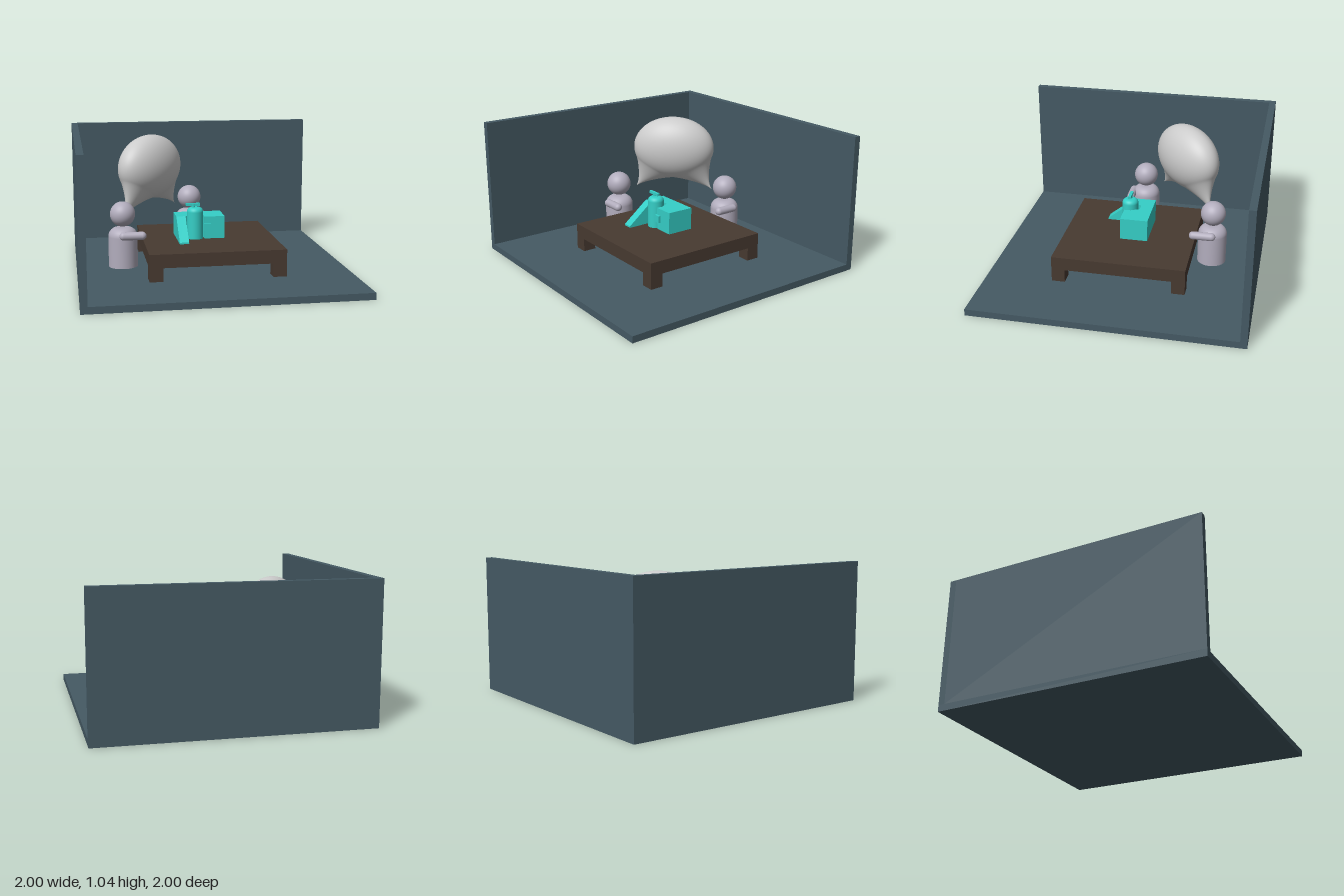
import * as THREE from 'three';
import { mergeVertices } from 'three/addons/utils/BufferGeometryUtils.js';

const paint = (color) => new THREE.MeshStandardMaterial({ color });
const ROOM = paint(0x455a64), WOOD = paint(0x483a31), TEAL = paint(0x35cfc7);
const SKIN = paint(0xb2adbd), GREY = paint(0xcccccc);

function add(parent, name, geometry, material, x = 0, y = 0, z = 0) {
  const mesh = new THREE.Mesh(geometry, material);
  mesh.name = name;
  mesh.position.set(x, y, z);
  parent.add(mesh);
  return mesh;
}

// Box given by its min and max corners
function slab(parent, name, material, [x0, y0, z0], [x1, y1, z1]) {
  return add(parent, name, new THREE.BoxGeometry(x1 - x0, y1 - y0, z1 - z0), material,
    (x0 + x1) / 2, (y0 + y1) / 2, (z0 + z1) / 2);
}

function subgroup(parent, name) {
  const g = new THREE.Group();
  g.name = name;
  parent.add(g);
  return g;
}

// Upright round form with a rounded shoulder
function roundedPost(radius, height, shoulder, segments) {
  const pts = [new THREE.Vector2(0, 0), new THREE.Vector2(radius, 0), new THREE.Vector2(radius, 0)];
  for (let i = 0; i <= 8; i++) {
    const a = (i / 8) * Math.PI / 2;
    pts.push(new THREE.Vector2(radius - shoulder + shoulder * Math.cos(a), height - shoulder + shoulder * Math.sin(a)));
  }
  pts.push(new THREE.Vector2(0, height));
  return new THREE.LatheGeometry(pts, segments);
}

// Seated figure facing +z, with one arm held forward on the given side
function figure(parent, name, x, z, turn, armSide) {
  const g = subgroup(parent, name);
  g.position.set(x, 0.05, z);
  g.rotation.y = turn;
  add(g, 'body', roundedPost(0.11, 0.3, 0.07, 40), SKIN);
  add(g, 'head', new THREE.SphereGeometry(0.095, 40, 28), SKIN, 0, 0.4, 0);
  const arm = add(g, 'arm', new THREE.CapsuleGeometry(0.031, 0.14, 8, 20), SKIN, armSide * 0.103, 0.25, 0.068);
  arm.rotation.x = Math.PI / 2;
}

// Flattened bubble whose underside is drawn out to two tips
function bubbleGeometry() {
  const sphere = new THREE.SphereGeometry(1, 96, 72);
  sphere.deleteAttribute('uv');
  sphere.deleteAttribute('normal');
  const geo = mergeVertices(sphere, 1e-5);
  const pos = geo.attributes.position;
  const dir = new THREE.Vector3(), p = new THREE.Vector3();
  const size = new THREE.Vector3(0.325, 0.25, 0.175);
  for (let i = 0; i < pos.count; i++) {
    dir.fromBufferAttribute(pos, i);
    p.copy(dir).multiply(size);
    for (const s of [-1, 1]) {
      const aim = new THREE.Vector3(s * 0.575, -0.818, 0);
      const w = Math.max(0, (dir.dot(aim) - 0.8) / 0.2) ** 2;
      p.lerp(new THREE.Vector3(s * 0.315, -0.345, 0), w);
    }
    pos.setXYZ(i, p.x, p.y, p.z);
  }
  geo.computeVertexNormals();
  return geo;
}

export function createModel() {
  const model = new THREE.Group();
  model.name = 'roomScene';

  // Open room corner
  const room = subgroup(model, 'room');
  slab(room, 'floor', ROOM, [-1, 0, -1], [1, 0.05, 1]);
  slab(room, 'backWall', ROOM, [-1, 0.05, -1], [1, 1.04, -0.95]);
  slab(room, 'sideWall', ROOM, [-1, 0.05, -0.95], [-0.95, 1.04, 1]);

  // Low table
  const table = subgroup(model, 'table');
  slab(table, 'tableTop', WOOD, [-0.5, 0.15, -0.5], [0.5, 0.25, 0.5]);
  for (const sx of [-1, 1]) for (const sz of [-1, 1])
    add(table, 'tableLeg', new THREE.BoxGeometry(0.1, 0.1, 0.1), WOOD, sx * 0.45, 0.1, sz * 0.45);

  // Two figures at neighbouring sides of the table
  figure(model, 'sideFigure', -0.65, 0.003, Math.PI / 2, -1);
  figure(model, 'backFigure', -0.055, -0.627, 0, 1);

  // Bubble hanging between the heads
  const bubble = add(model, 'bubble', bubbleGeometry(), GREY, -0.403, 0.75, -0.373);
  bubble.rotation.y = Math.PI / 4;

  // Device: housing with a faceted recess in its front
  const device = subgroup(model, 'device');
  const plan = [[-0.245, -0.15], [0.12, -0.15], [0.12, 0.06], [-0.035, 0.06], [-0.035, 0.01],
    [-0.07, -0.055], [-0.13, -0.055], [-0.168, 0.02], [-0.245, 0.02]];
  const outline = new THREE.Shape(plan.map(([x, z]) => new THREE.Vector2(x, -z)));
  const housing = new THREE.ExtrudeGeometry(outline, { depth: 0.17, bevelEnabled: false });
  housing.rotateX(-Math.PI / 2);
  add(device, 'housing', housing, TEAL, 0, 0.25, 0);

  // Sloping chute, profile drawn in z and y
  const slope = new THREE.Shape([[0.02, 0], [0.218, 0], [0.218, 0.012], [0.02, 0.17]]
    .map(([z, y]) => new THREE.Vector2(-z, y)));
  const chute = new THREE.ExtrudeGeometry(slope, { depth: 0.07, bevelEnabled: false });
  chute.rotateY(Math.PI / 2);
  add(device, 'chute', chute, TEAL, -0.245, 0.25, 0);

  // Canister with neck and lever, and the latch beside it
  add(device, 'canister', roundedPost(0.062, 0.24, 0.035, 32), TEAL, -0.102, 0.25, 0.025);
  add(device, 'neck', new THREE.CylinderGeometry(0.014, 0.014, 0.03, 16), TEAL, -0.115, 0.5, 0.025);
  slab(device, 'lever', TEAL, [-0.172, 0.5, 0.014], [-0.065, 0.52, 0.036]);
  slab(device, 'latch', TEAL, [-0.042, 0.312, 0.055], [0.01, 0.367, 0.08]);

  return model;
}
